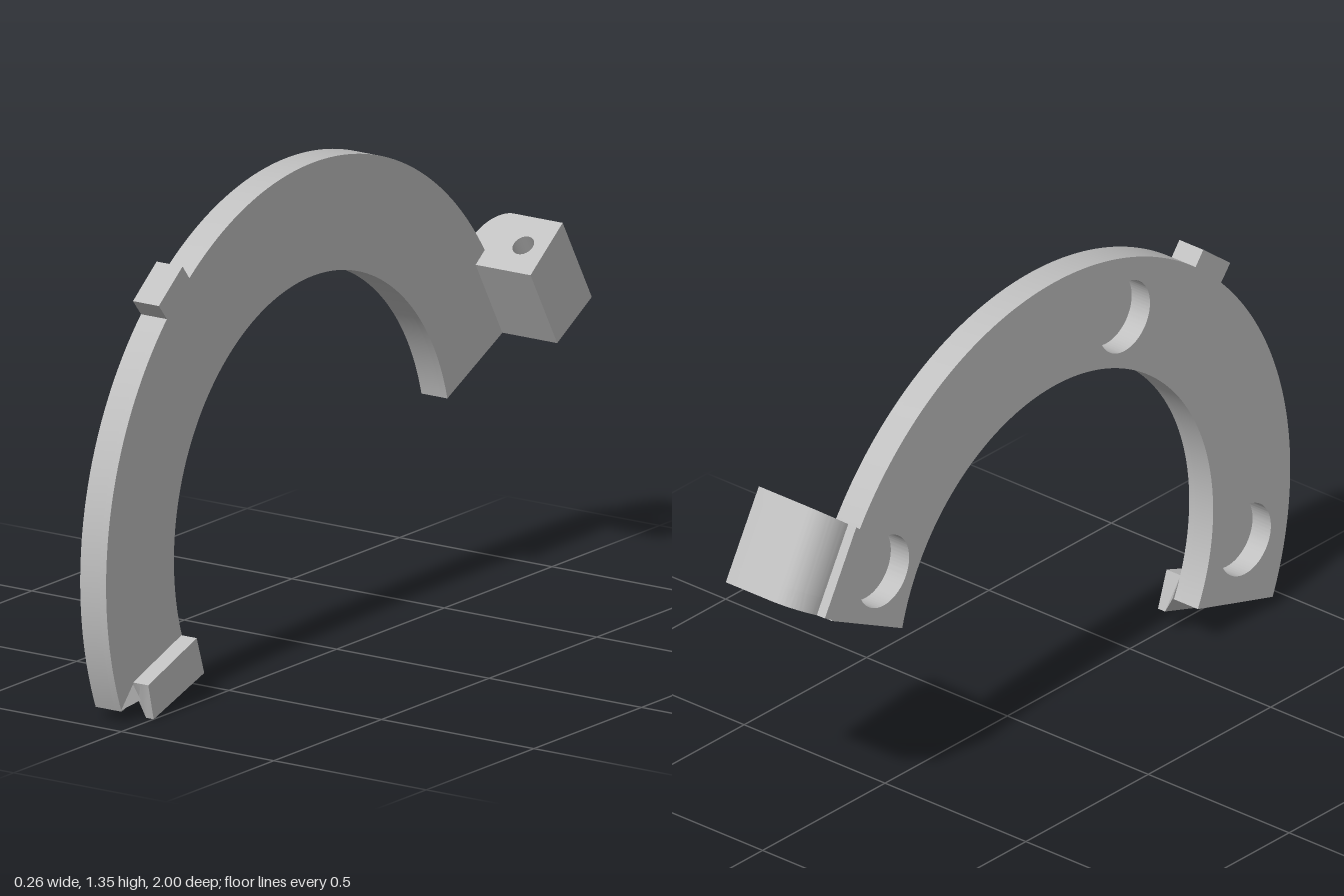
import * as THREE from 'three';
import { toCreasedNormals } from 'three/addons/utils/BufferGeometryUtils.js';
import { ConvexGeometry } from 'three/addons/geometries/ConvexGeometry.js';

const CZ = 0.04, CY = 0.395, OUTER = 0.96, INNER = 0.645; // ring centre and radii
const rad = THREE.MathUtils.degToRad;

// Extrudes a (z, y) outline sideways from x = from down to x = to
function slab(shape, from, to, steps = 1) {
  const geo = new THREE.ExtrudeGeometry(shape, { depth: from - to, steps, bevelEnabled: false, curveSegments: 64 });
  return geo.translate(0, 0, -from).rotateY(-Math.PI / 2);
}

const polygon = (pts) => new THREE.Shape(pts.map(([a, b]) => new THREE.Vector2(a, b)));

function ringShape() {
  const s = new THREE.Shape();
  s.absarc(CZ, CY, OUTER, rad(-22.3), rad(161.8), false);
  s.absarc(CZ, CY, INNER, rad(165.6), rad(-25.4), true);
  s.closePath();
  return s;
}

function circleHole(a, b, r) {
  const p = new THREE.Path();
  p.absarc(a, b, r, 0, Math.PI * 2, true);
  return p;
}

export function createModel() {
  const group = new THREE.Group();
  const grey = new THREE.MeshStandardMaterial({ color: 0xc0c0c0 });
  grey.name = 'light grey';
  const add = (name, geo, parent = group) => {
    const mesh = new THREE.Mesh(toCreasedNormals(geo, 0.4), grey);
    mesh.name = name;
    parent.add(mesh);
    return mesh;
  };

  // Curved plate: solid face layer plus a layer with three round pockets
  add('plateFace', slab(ringShape(), -0.05, -0.07));
  const pocketed = ringShape();
  for (const deg of [-10.5, 69, 152.5]) {
    const a = rad(deg);
    pocketed.holes.push(circleHole(CZ + 0.79 * Math.cos(a), CY + 0.79 * Math.sin(a), 0.104));
  }
  add('plateWithPockets', slab(pocketed, -0.07, -0.135));

  // Small tab on the outer rim
  add('rimTab', slab(polygon([[0.68, 1.03], [0.755, 1.12], [0.645, 1.205], [0.57, 1.11]]), -0.05, -0.135));

  // Hooked lip at the front end, its underside sloping back to the plate
  const lip = slab(polygon([[0.875, 0.1], [0.65, 0.18], [0.615, 0.075], [0.85, 0]]), 0, -0.05, 2);
  const lp = lip.attributes.position;
  for (let i = 0; i < lp.count; i++) {
    if (lp.getX(i) < -0.04 && lp.getY(i) < 0.09) lp.setY(i, lp.getY(i) + 0.045);
  }
  lip.computeVertexNormals();
  add('endLip', lip);
  add('lipWedge', new ConvexGeometry([
    [-0.05, 0.035, 0.93], [-0.05, 0.095, 0.875], [-0.035, 0.05, 0.86], [-0.05, 0.05, 0.86],
  ].map((p) => new THREE.Vector3(...p))));

  // Clamp block: profile across (x, outward), extruded along the bolt axis
  const blockShape = () => {
    const s = new THREE.Shape();
    s.moveTo(-0.135, 0);
    s.lineTo(0.13, 0);
    s.lineTo(0.13, 0.185);
    s.lineTo(-0.03, 0.185);
    s.absellipse(-0.03, 0.075, 0.08, 0.11, Math.PI / 2, Math.PI, false);
    s.lineTo(-0.135, 0.07);
    s.closePath();
    return s;
  };
  const NUT = 0.05, LENGTH = 0.25;
  const block = new THREE.Group();
  block.name = 'clampBlock';
  const out = new THREE.Vector3(0, 0.495, -0.869);
  const side = new THREE.Vector3(1, 0, 0);
  const place = new THREE.Matrix4().makeBasis(side, out, side.clone().cross(out)).setPosition(0, 0.68, -0.84);
  group.add(block);

  // Lower part with the hexagonal nut recess
  const lower = blockShape();
  const hex = [];
  for (let i = 0; i < 6; i++) {
    const a = -i * Math.PI / 3;
    hex.push(new THREE.Vector2(0.055 + 0.06 * Math.cos(a), 0.09 + 0.06 * Math.sin(a)));
  }
  lower.holes.push(new THREE.Path(hex));
  add('nutRecessPart', new THREE.ExtrudeGeometry(lower, { depth: NUT, bevelEnabled: false })
    .applyMatrix4(place), block);

  // Upper part with the bolt hole and slightly slanted top
  const upper = blockShape();
  upper.holes.push(circleHole(0.055, 0.09, 0.031));
  const top = new THREE.ExtrudeGeometry(upper, { depth: LENGTH - NUT, bevelEnabled: false }).translate(0, 0, NUT);
  const tp = top.attributes.position;
  for (let i = 0; i < tp.count; i++) {
    if (tp.getZ(i) > LENGTH - 0.01) tp.setZ(i, LENGTH + 0.125 * tp.getY(i));
  }
  top.computeVertexNormals();
  add('boltHolePart', top.applyMatrix4(place), block);

  return group;
}
